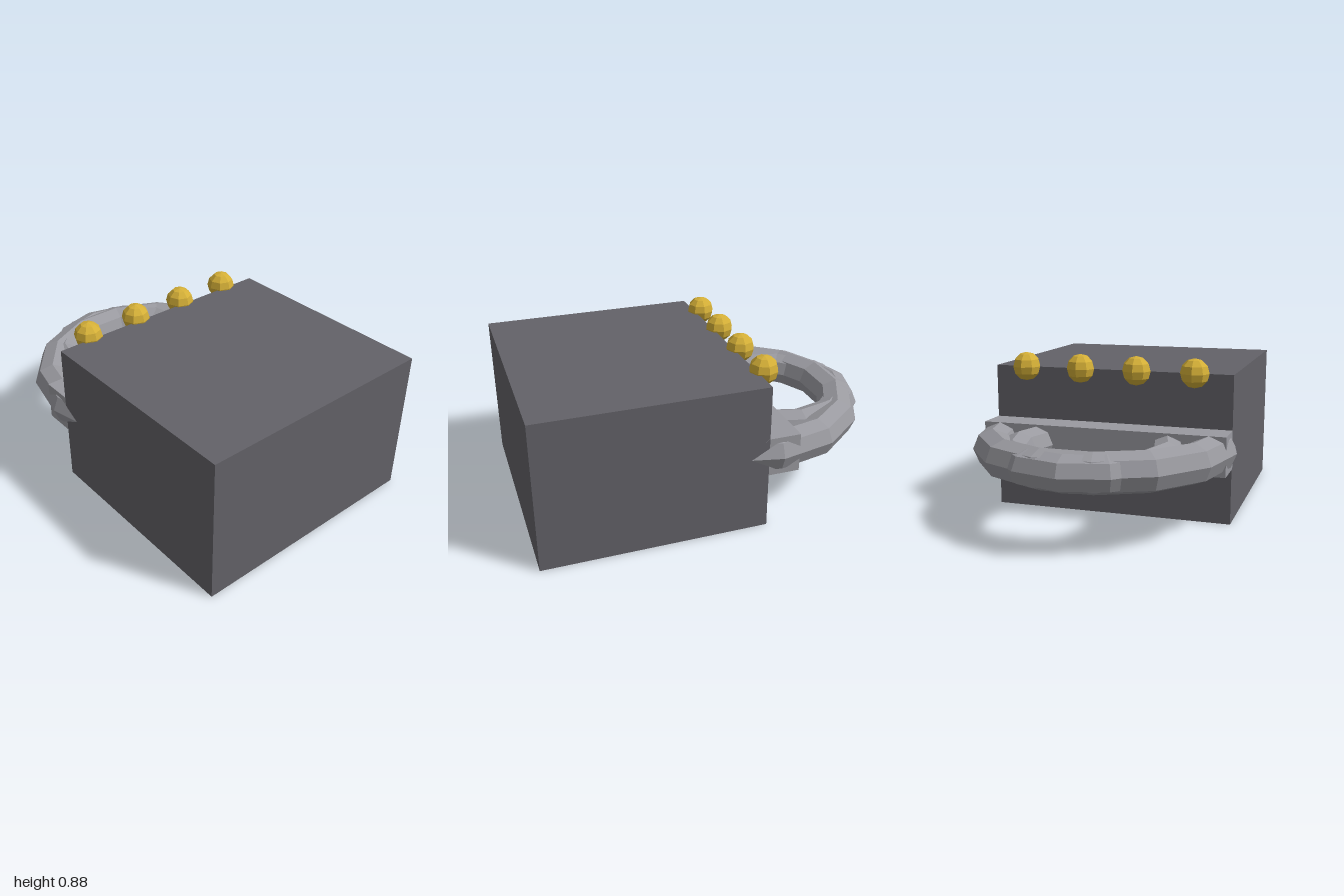
import * as THREE from 'three';

const paint = (color) => new THREE.MeshStandardMaterial({ color, flatShading: true });

export function createModel() {
  const model = new THREE.Group();
  model.name = 'padlock';
  const iron = paint(0x636268);
  const steel = paint(0x9a9aa0);
  const brass = paint(0xd4af37);

  const add = (name, geometry, material, x, y, z) => {
    const mesh = new THREE.Mesh(geometry, material);
    mesh.name = name;
    mesh.position.set(x, y, z);
    model.add(mesh);
    return mesh;
  };

  // Heavy block body
  add('body', new THREE.BoxGeometry(1.334, 0.8, 1.2), iron, 0, 0.4, 0.4);

  // Collar bar behind the body, where the shackle enters
  add('collar', new THREE.BoxGeometry(1.334, 0.21, 0.19), steel, 0, 0.405, -0.275);

  // Two overlapping horizontal rings form the shackle, partly sunk in the body
  const ring = (name, radius, tube, segments, z) =>
    add(name, new THREE.TorusGeometry(radius, tube, 8, segments).rotateX(Math.PI / 2), steel, 0, 0.405, z);
  ring('outerShackle', 0.6, 0.105, 14, -0.27);
  ring('innerShackle', 0.4, 0.095, 12, -0.505);

  // Row of rivets along the top rear edge
  const rivet = new THREE.SphereGeometry(0.078, 8, 6);
  for (let i = 0; i < 4; i++) {
    add(`rivet${i + 1}`, rivet, brass, (i - 1.5) * 0.313, 0.806, -0.238);
  }
  return model;
}
